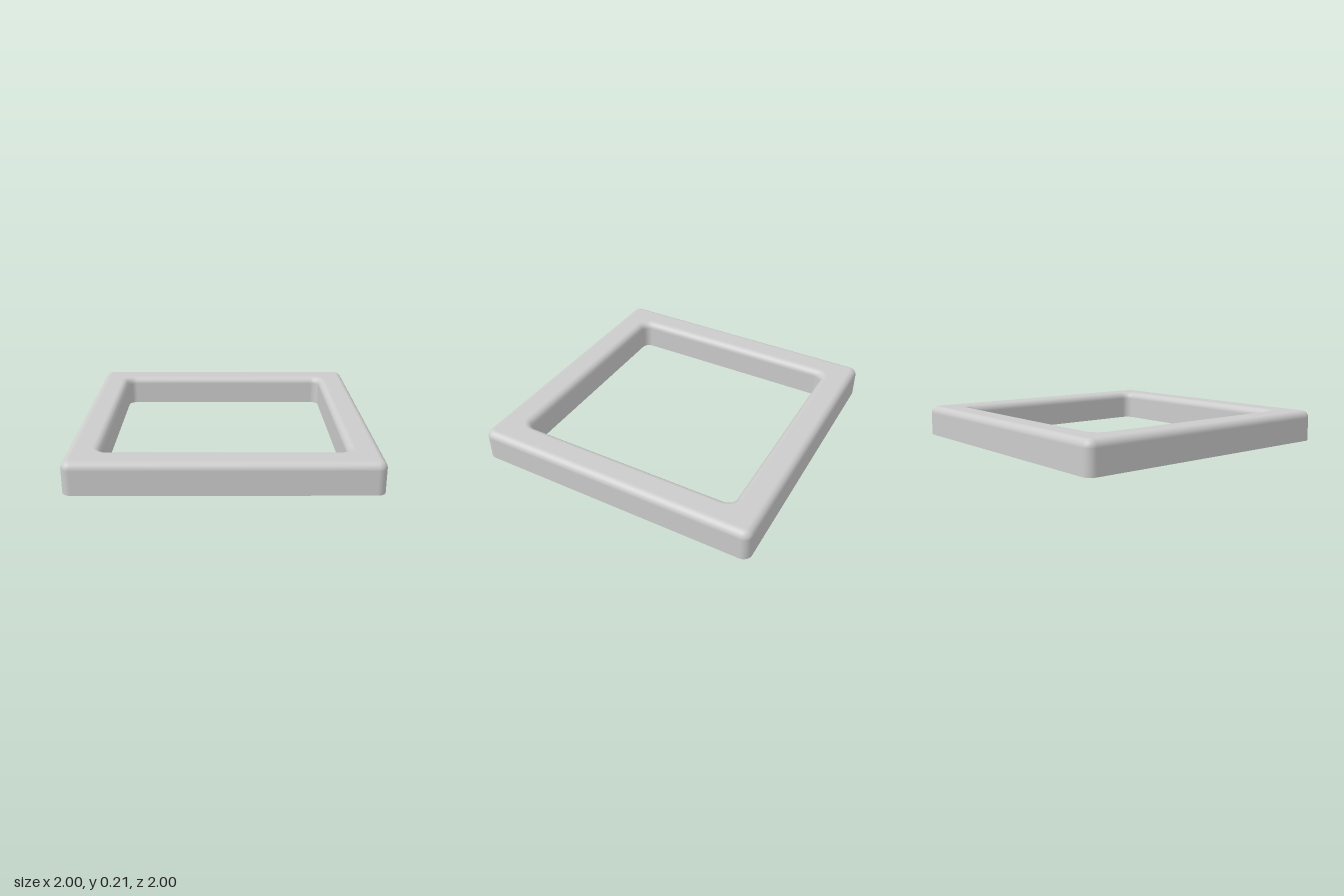
import * as THREE from 'three';

const OUTER = 1, INNER = 0.786, HEIGHT = 0.213;
const FILLET = 0.05, CORNER = 0.06, STEPS = 8;

// Channel section from the outer foot, over the top, to the inner foot.
// h: half size of the ring, r: its corner radius, nr/ny: surface normal.
function channelProfile() {
  const rings = [{ h: OUTER, r: CORNER, y: 0, nr: 1, ny: 0 }];
  for (let i = 0; i <= STEPS; i++) {
    const a = (i / STEPS) * Math.PI / 2, inset = FILLET * (1 - Math.cos(a));
    rings.push({ h: OUTER - inset, r: CORNER - inset, y: HEIGHT - FILLET * (1 - Math.sin(a)), nr: Math.cos(a), ny: Math.sin(a) });
  }
  for (let i = STEPS; i >= 0; i--) {
    const a = (i / STEPS) * Math.PI / 2, inset = FILLET * (1 - Math.cos(a));
    rings.push({ h: INNER + inset, r: CORNER + inset, y: HEIGHT - FILLET * (1 - Math.sin(a)), nr: -Math.cos(a), ny: Math.sin(a) });
  }
  rings.push({ h: INNER, r: CORNER, y: 0, nr: -1, ny: 0 });
  return rings;
}

// Sweep the section around a square with rounded corners.
function frameGeometry() {
  const rings = channelProfile(), count = 4 * (STEPS + 1);
  const positions = [], normals = [], index = [];
  rings.forEach(({ h, r, y, nr, ny }, i) => {
    for (let corner = 0; corner < 4; corner++) {
      const sx = corner === 0 || corner === 3 ? 1 : -1, sz = corner < 2 ? 1 : -1;
      for (let s = 0; s <= STEPS; s++) {
        const a = (corner + s / STEPS) * Math.PI / 2, c = Math.cos(a), d = Math.sin(a);
        positions.push(sx * (h - r) + r * c, y, sz * (h - r) + r * d);
        normals.push(nr * c, ny, nr * d);
      }
    }
    if (i === rings.length - 1) return;
    for (let j = 0; j < count; j++) {
      const k = (j + 1) % count, p = i * count, q = p + count;
      index.push(p + j, q + j, p + k, q + j, q + k, p + k);
    }
  });
  const geometry = new THREE.BufferGeometry();
  geometry.setAttribute('position', new THREE.Float32BufferAttribute(positions, 3));
  geometry.setAttribute('normal', new THREE.Float32BufferAttribute(normals, 3));
  geometry.setIndex(index);
  return geometry;
}

export function createModel() {
  const group = new THREE.Group();
  // Thin shell, open underneath
  const material = new THREE.MeshStandardMaterial({ color: 0xcccccc, side: THREE.DoubleSide });
  const frame = new THREE.Mesh(frameGeometry(), material);
  frame.name = 'squareFrame';
  group.add(frame);
  return group;
}
